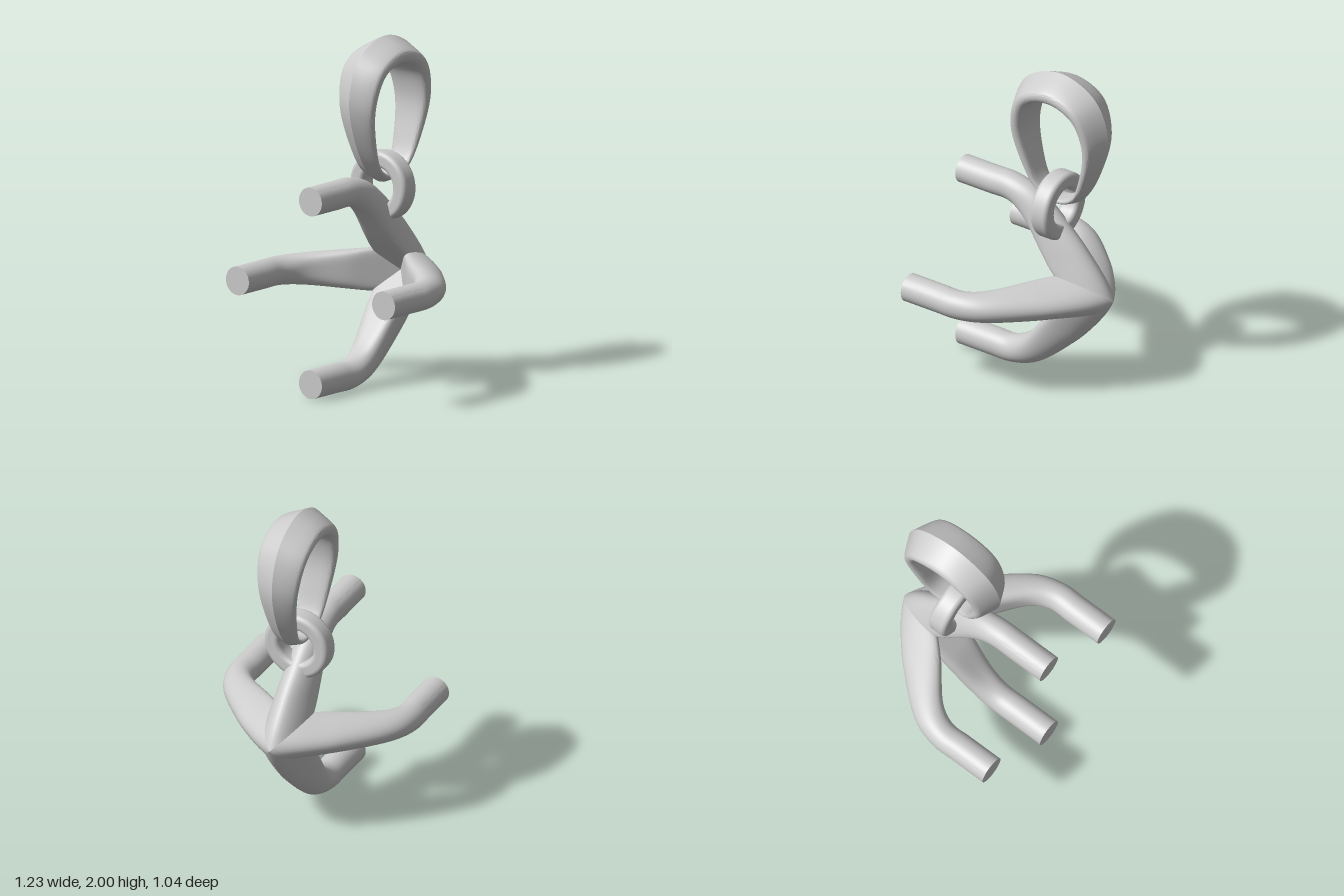
import * as THREE from 'three';
import { toCreasedNormals } from 'three/addons/utils/BufferGeometryUtils.js';

const material = new THREE.MeshStandardMaterial({ color: 0xcccccc });
const AXIS_Y = 0.615; // height where the four prongs meet
const LOOP_Z = -0.16; // centre plane of bail and ring

function part(name, geometry) {
  const mesh = new THREE.Mesh(geometry, material);
  mesh.name = name;
  return mesh;
}

const spline = (points, closed = false) =>
  new THREE.CatmullRomCurve3(points.map((p) => new THREE.Vector3(...p)), closed);

// Surface over a grid of fn(u, v), u and v in 0..1
function loft(fn, nu, nv, crease) {
  const pos = [], index = [];
  for (let i = 0; i <= nu; i++) {
    for (let j = 0; j <= nv; j++) pos.push(...fn(i / nu, (j % nv) / nv));
  }
  for (let i = 0; i < nu; i++) {
    for (let j = 0; j < nv; j++) {
      const a = i * (nv + 1) + j, b = a + nv + 1;
      index.push(a, b, b + 1, a, b + 1, a + 1);
    }
  }
  const g = new THREE.BufferGeometry();
  g.setAttribute('position', new THREE.Float32BufferAttribute(pos, 3));
  g.setIndex(index);
  return toCreasedNormals(g, crease);
}

// Prong: section swept between inner and outer rails, mitred on the diagonals
function prongGeometry() {
  // each point: half width, radius from the axis, z
  const inner = spline([
    [0.083, 0.448, 0.52], [0.083, 0.448, 0.3], [0.083, 0.447, 0.18], [0.09, 0.395, 0.07],
    [0.115, 0.2, -0.1], [0.125, 0.12, -0.18], [0.13, 0, -0.3], [0.13, -0.13, -0.42], [0.13, -0.25, -0.53],
  ]);
  const outer = spline([
    [0.083, 0.615, 0.52], [0.083, 0.615, 0.3], [0.083, 0.614, 0.17], [0.09, 0.562, 0],
    [0.115, 0.345, -0.26], [0.125, 0.25, -0.35], [0.13, 0.11, -0.46], [0.13, 0, -0.52], [0.13, -0.12, -0.56],
  ]);
  const at = (s, angle) => {
    const a = inner.getPoint(s), b = outer.getPoint(s);
    // the section turns from round to flat-bottomed towards the centre
    const k = 1 + 1.8 * THREE.MathUtils.smoothstep(s, 0.25, 0.65);
    const p = a.lerp(b, Math.pow((1 + Math.sin(angle)) / 2, k));
    return [p.x * Math.cos(angle), p.y, p.z];
  };
  const ends = new Map();
  const endOf = (angle) => {
    if (!ends.has(angle)) {
      let lo = 0, hi = 1;
      for (let n = 0; n < 30; n++) {
        const mid = (lo + hi) / 2, p = at(mid, angle);
        if (p[1] > Math.abs(p[0])) lo = mid; else hi = mid;
      }
      ends.set(angle, lo);
    }
    return ends.get(angle);
  };
  return loft((u, v) => at(u * endOf(v * Math.PI * 2), v * Math.PI * 2), 40, 48, 1.0);
}

// Bail: egg-shaped loop, wide and ridged at the top, narrow at the bottom
function bailGeometry() {
  // right half as half width, offset in z, y; mirrored to close the loop
  const rail = (half) => spline([
    ...half, ...half.slice(1, -1).reverse().map(([w, d, y]) => [w, -d, y]),
  ], true);
  const outer = rail([
    [0.15, 0, 2], [0.148, 0.24, 1.9], [0.125, 0.328, 1.67], [0.095, 0.26, 1.39],
    [0.073, 0.14, 1.21], [0.06, 0, 1.15],
  ]);
  const inner = rail([
    [0.15, 0, 1.845], [0.148, 0.15, 1.79], [0.125, 0.21, 1.62], [0.095, 0.18, 1.42],
    [0.073, 0.11, 1.25], [0.06, 0, 1.2],
  ]);
  // half section: share of the width, share of the thickness
  const section = spline([
    [0, 0, 0], [0.6, 0.02, 0], [0.88, 0.1, 0], [0.99, 0.28, 0], [0.96, 0.48, 0], [0.8, 0.61, 0], [0, 1, 0],
  ]);
  return loft((u, v) => {
    const q = section.getPoint(v <= 0.5 ? v * 2 : 2 - v * 2);
    const p = inner.getPoint(u % 1).lerp(outer.getPoint(u % 1), q.y);
    return [p.x * q.x * (v <= 0.5 ? 1 : -1), p.z, LOOP_Z - p.y];
  }, 80, 48, 0.6);
}

// Jump ring: rounded rectangular section turned round z
function ringGeometry() {
  const r0 = 0.108, r1 = 0.203, h = 0.06, c = 0.028;
  const profile = [];
  const corners = [[r1 - c, -h + c, -90], [r1 - c, h - c, 0], [r0 + c, h - c, 90], [r0 + c, -h + c, 180]];
  for (const [x, y, start] of corners) {
    for (let i = 0; i <= 5; i++) {
      const a = THREE.MathUtils.degToRad(start + i * 18);
      profile.push(new THREE.Vector2(x + c * Math.cos(a), y + c * Math.sin(a)));
    }
  }
  profile.push(profile[0].clone());
  return new THREE.LatheGeometry(profile, 64).rotateX(Math.PI / 2);
}

export function createModel() {
  const model = new THREE.Group();
  model.name = 'prongedPendant';

  const prong = prongGeometry();
  const cap = new THREE.CircleGeometry(0.0833, 48);
  ['top', 'left', 'bottom', 'right'].forEach((side, i) => {
    const arm = new THREE.Group();
    arm.name = side + 'Prong';
    const end = part('prongEnd', cap);
    end.position.set(0, 0.5315, 0.52);
    arm.add(part('prongArm', prong), end);
    arm.position.y = AXIS_Y;
    arm.rotation.z = -i * Math.PI / 2;
    model.add(arm);
  });
  model.getObjectByName('leftProng').name = 'swap';
  model.getObjectByName('rightProng').name = 'leftProng';
  model.getObjectByName('swap').name = 'rightProng';

  const ring = part('jumpRing', ringGeometry());
  ring.position.set(0, 1.133, -0.14);
  model.add(ring, part('bail', bailGeometry()));
  return model;
}
